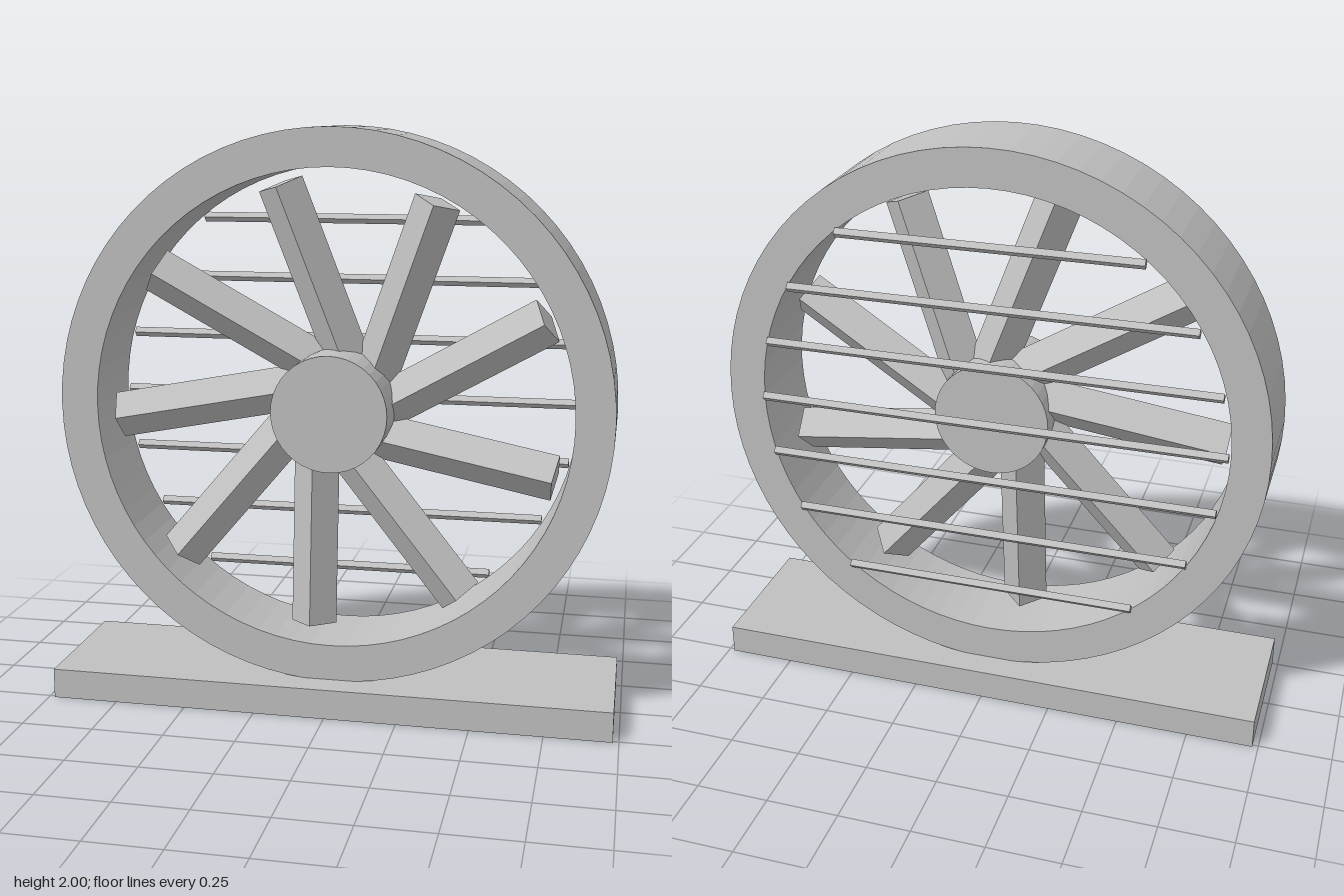
import * as THREE from 'three';

const CENTRE_Y = 1.05;
const OUTER = 0.95, INNER = 0.82, DEPTH = 0.32;

export function createModel() {
  const model = new THREE.Group();
  model.name = 'fan';
  const grey = new THREE.MeshStandardMaterial({ color: 0xc0c0c0, flatShading: true });
  grey.name = 'plain grey';

  const add = (name, geometry, parent) => {
    const mesh = new THREE.Mesh(geometry, grey);
    mesh.name = name;
    parent.add(mesh);
    return mesh;
  };

  // Flat base plate
  add('base', new THREE.BoxGeometry(1.96, 0.105, 0.52).translate(0, 0.0525, 0), model);

  // Everything round is built about the wheel centre
  const wheel = new THREE.Group();
  wheel.name = 'wheel';
  wheel.position.y = CENTRE_Y;
  model.add(wheel);

  // Housing ring
  const ring = new THREE.Shape().absarc(0, 0, OUTER, 0, Math.PI * 2, false);
  ring.holes.push(new THREE.Path().absarc(0, 0, INNER, 0, Math.PI * 2, true));
  add('housing', new THREE.ExtrudeGeometry(ring, {
    depth: DEPTH, bevelEnabled: false, curveSegments: 40,
  }).translate(0, 0, -DEPTH / 2), wheel);

  // Hub, slightly proud of the housing at the front
  const hubFront = 0.175, hubBack = -0.13;
  add('hub', new THREE.CylinderGeometry(0.2, 0.2, hubFront - hubBack, 40)
    .rotateX(Math.PI / 2)
    .translate(0, 0, (hubFront + hubBack) / 2), wheel);

  // Nine square blades, turned on edge, leaning forward and set off centre
  const bladeGeometry = new THREE.BoxGeometry(0.113, 0.68, 0.113)
    .rotateY(Math.PI / 4)
    .rotateX(0.095)
    .translate(0.08, 0.44, 0.005);
  for (let i = 0; i < 9; i++) {
    const blade = add('blade', bladeGeometry, wheel);
    blade.rotation.z = Math.PI + (i * Math.PI * 2) / 9;
  }

  // Horizontal guard bars across the back
  for (let k = -3; k <= 3; k++) {
    const y = k * 0.21;
    const length = 2 * Math.sqrt(0.815 ** 2 - y ** 2);
    add('guardBar', new THREE.CylinderGeometry(0.017, 0.017, length, 4)
      .rotateZ(Math.PI / 2)
      .translate(0, y, -0.174), wheel);
  }

  return model;
}
